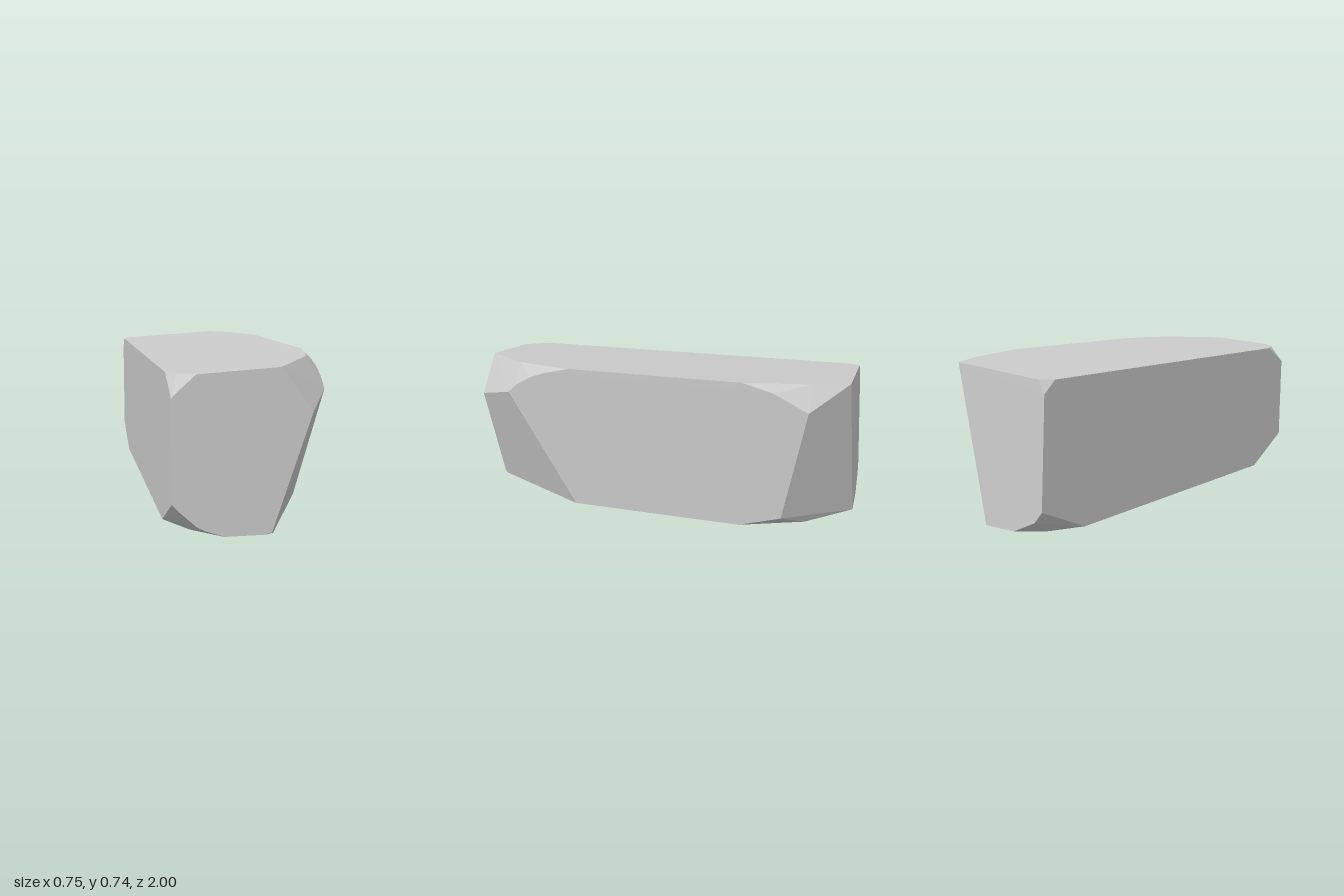
import * as THREE from 'three';
import { ConvexGeometry } from 'three/addons/geometries/ConvexGeometry.js';

// Slightly tilted planes of the block; each maps 2D outline points to 3D.
const topFace = ([x, z]) => new THREE.Vector3(x, 0.7225 + 0.06 * x, z);
const bottomFace = ([x, z]) => new THREE.Vector3(x, 0.006 - 0.0175 * x, z);
const rightFace = ([z, y]) => new THREE.Vector3(0.342 + 0.04 * y, y, z);
const leftFace = ([z, y]) => new THREE.Vector3(-0.375, y, z);
const frontFace = ([x, y]) => new THREE.Vector3(x, y, 1);
const backFace = ([x, y]) => new THREE.Vector3(x, y, -1 + 0.056 * y);

export function createModel() {
  const group = new THREE.Group();
  group.name = 'choppedStone';

  // Outline of every large face; the hull fills the worn corners between them.
  const points = [
    ...[[-0.375, -0.9], [-0.34, -0.96], [0.2, -0.96], [0.28, -0.79], [0.33, -0.62], [0.371, -0.47],
      [0.371, 0.42], [0.33, 0.6], [0.285, 0.73], [0.09, 1], [-0.27, 1], [-0.34, 0.93], [-0.375, 0.85]].map(topFace),
    ...[[-0.375, 0.72], [-0.28, 0.88], [-0.15, 1], [0.03, 1], [0.07, 0.98], [0.342, 0.42], [0.342, -0.47],
      [0.21, -0.78], [-0.01, -1], [-0.15, -0.98], [-0.29, -0.89], [-0.375, -0.73]].map(bottomFace),
    ...[[0.77, 0.595], [0.72, 0.64], [0.64, 0.685], [0.55, 0.715], [-0.62, 0.705], [-0.79, 0.62],
      [-0.68, 0.065]].map(rightFace),
    ...[[1, 0.165], [1, 0.61], [-0.964, 0.645], [-0.992, 0.14]].map(leftFace),
    ...[[-0.345, 0.64], [0.235, 0.535], [0.06, 0.015], [-0.235, 0.04], [-0.27, 0.06], [-0.345, 0.13]].map(frontFace),
    ...[[-0.33, 0.085], [-0.2, 0.02]].map(backFace),
  ];

  const stone = new THREE.Mesh(
    new ConvexGeometry(points),
    new THREE.MeshStandardMaterial({ color: 0xcccccc, flatShading: true }),
  );
  stone.name = 'stoneBlock';
  group.add(stone);
  return group;
}
